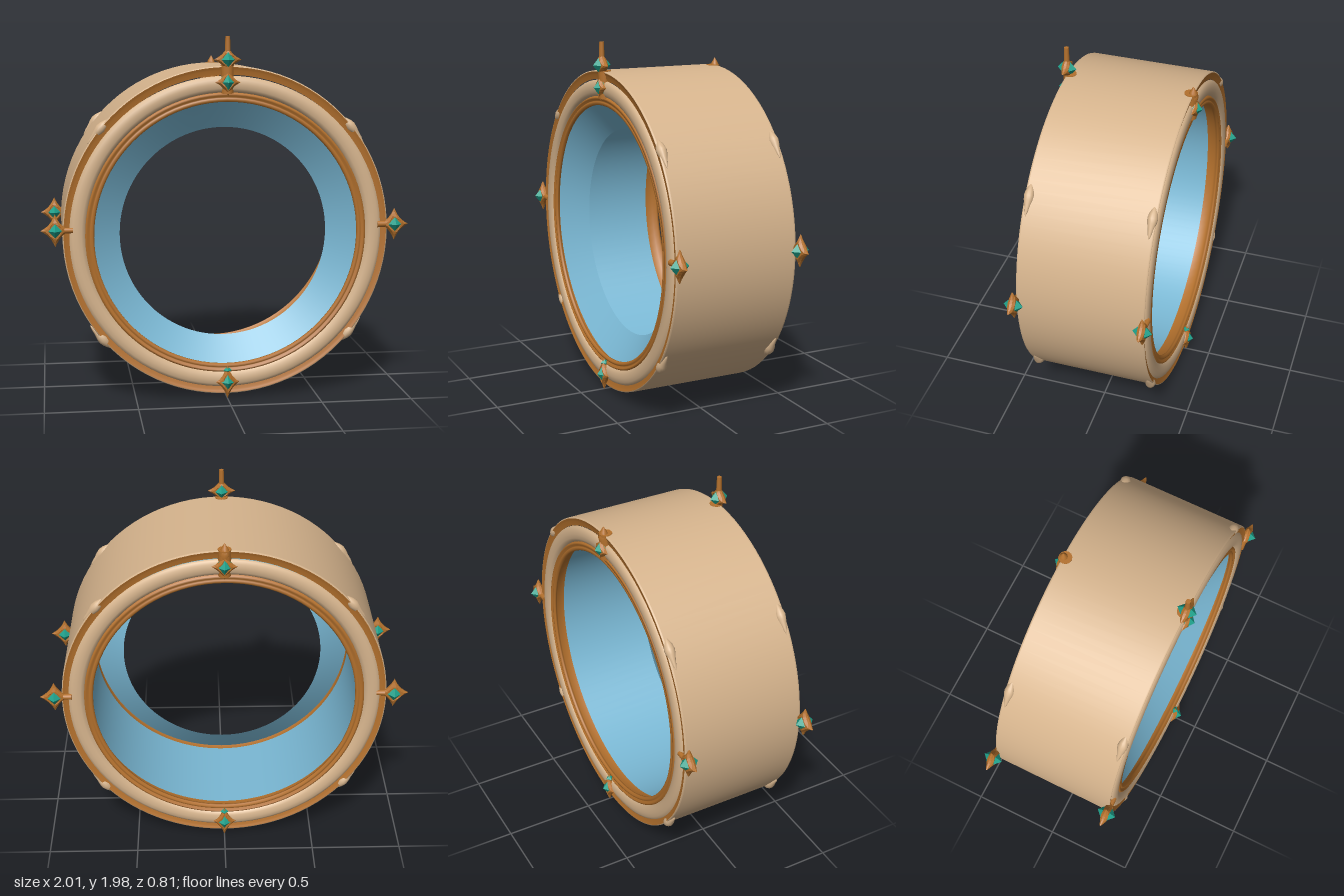
import * as THREE from 'three';

const mat = (name, color, side = THREE.FrontSide) => {
  const m = new THREE.MeshStandardMaterial({ color, side });
  m.name = name;
  return m;
};

export function createModel() {
  const model = new THREE.Group();
  model.name = 'ornateRing';
  const stone = mat('sandstone', 0xd6b48d);
  const gold = mat('bronze', 0xb4712d);
  const blue = mat('blueLining', 0x7ab8d4, THREE.DoubleSide);
  const teal = mat('tealGem', 0x1ea08a);

  const add = (parent, name, geometry, material, x = 0, y = 0, z = 0) => {
    const mesh = new THREE.Mesh(geometry, material);
    mesh.name = name;
    mesh.position.set(x, y, z);
    parent.add(mesh);
    return mesh;
  };

  // Revolve (radius, z) points around the z axis, with an optional slight oval
  const revolve = (points, oval = 1) =>
    new THREE.LatheGeometry(points.map(([r, z]) => new THREE.Vector2(r, z)), 96)
      .rotateX(Math.PI / 2).scale(1, oval, 1);

  // Drum wall, lining and the funnel inside the front
  const outerY = 0.93, innerY = 0.918;
  add(model, 'outerWall', revolve([[0.887, -0.34], [0.887, 0.34]], 1.012), stone, 0, outerY);
  add(model, 'innerLining', revolve([[0.745, 0.315], [0.745, -0.315]]), blue, 0, innerY);
  add(model, 'funnel', revolve([[0.745, 0.315], [0.66, 0.252], [0.574, 0.19]], 1.012), blue, 0, 0.91);

  // Moulded rims, the same on both ends
  for (const end of [1, -1]) {
    const rim = new THREE.Group();
    rim.name = end > 0 ? 'frontRim' : 'backRim';
    rim.rotation.y = end > 0 ? 0 : Math.PI;
    model.add(rim);
    add(rim, 'outerLip', revolve([[0.887, 0.338], [0.886, 0.347], [0.881, 0.349]], 1.012), stone, 0, outerY);
    add(rim, 'outerTrim', revolve([[0.881, 0.349], [0.874, 0.347], [0.864, 0.342], [0.84, 0.338]], 1.012),
      gold, 0, outerY);
    add(rim, 'roundMoulding', revolve([[0.853, 0.335], [0.847, 0.346], [0.833, 0.354], [0.81, 0.358],
      [0.786, 0.354], [0.77, 0.346], [0.762, 0.33]]), stone, 0, 0.922);
    add(rim, 'innerTrim', revolve([[0.77, 0.332], [0.762, 0.345], [0.752, 0.349], [0.744, 0.336],
      [0.738, 0.343], [0.727, 0.345], [0.718, 0.337], [0.718, 0.328], [0.743, 0.312], [0.743, 0.268]]),
      gold, 0, innerY);
  }

  // Four-pointed star with hollow sides, thinning to its tips, and a gem through it
  const star = (name, x, y, z, w, h, gemDepth = 0.053) => {
    const group = new THREE.Group();
    group.name = name;
    group.position.set(x, y, z);
    model.add(group);
    const tips = [[w, 0], [0, h], [-w, 0], [0, -h]];
    const shape = new THREE.Shape();
    shape.moveTo(w, 0);
    for (let i = 1; i <= 4; i++) {
      const [ax, ay] = tips[i - 1], [bx, by] = tips[i % 4];
      shape.quadraticCurveTo((ax + bx) * 0.28, (ay + by) * 0.28, bx, by);
    }
    const plate = new THREE.ExtrudeGeometry(shape, {
      depth: 0.016, bevelEnabled: true, bevelThickness: 0.012, bevelSize: 0.01,
      bevelOffset: -0.008, bevelSegments: 1, curveSegments: 6,
    }).translate(0, 0, -0.008);
    const p = plate.attributes.position;
    for (let i = 0; i < p.count; i++) {
      const reach = Math.hypot(p.getX(i) / w, p.getY(i) / h);
      p.setZ(i, p.getZ(i) * Math.max(0.25, 1.7 - 1.45 * reach));
    }
    plate.computeVertexNormals();
    add(group, 'starPlate', plate, gold);
    add(group, 'gem', new THREE.OctahedronGeometry(1).scale(0.056, 0.06, gemDepth), teal);
    return group;
  };

  // Teardrop stud profile, thick end up
  const drop = new THREE.LatheGeometry([[0, -0.1], [0.009, -0.075], [0.015, -0.045], [0.024, -0.015],
    [0.028, 0.01], [0.023, 0.035], [0.012, 0.06], [0, 0.08]].map(([r, y]) => new THREE.Vector2(r, y)), 16);

  for (const end of [1, -1]) {
    const z = 0.35 * end;
    const side = end > 0 ? 'front' : 'back';

    // Side stars on short stems
    for (const s of [1, -1]) {
      const g = star(`${side}SideStar`, 0.925 * s, 0.96, z, 0.075, 0.085);
      const stem = add(g, 'stem', new THREE.CylinderGeometry(0.018, 0.014, 0.09, 10), gold, -0.05 * s, 0, 0);
      stem.rotation.z = Math.PI / 2;

      // Teardrop studs lying along the rim on the diagonals
      for (const v of [1, -1]) {
        const stud = add(model, `${side}Stud`, drop, stone, 0.683 * s, 0.927 + 0.565 * v, 0.327 * end);
        stud.rotation.z = v > 0 ? s * 0.72 : Math.PI - s * 0.72;
      }
    }

    // Stars on the rim face
    star(`${side}TopStar`, 0, 1.74, 0.355 * end, 0.065, 0.07, 0.044);
    star(`${side}BottomStar`, 0, 0.1, 0.355 * end, 0.062, 0.09, 0.044);
    add(model, `${side}BottomBead`, new THREE.OctahedronGeometry(0.023), teal, 0, 0.165, 0.353 * end);
    add(model, `${side}TopStem`, new THREE.CylinderGeometry(0.036, 0.034, 0.15, 12), gold, 0, 1.755, 0.334 * end);
  }

  // Crowning star with a spike in front, plain finial behind
  star('crownStar', 0, 1.86, 0.35, 0.073, 0.07);
  add(model, 'crownSpike', new THREE.CylinderGeometry(0.013, 0.017, 0.13, 10), gold, 0, 1.92, 0.35);
  add(model, 'backFinial', new THREE.LatheGeometry([[0.022, -0.05], [0.03, -0.015], [0.018, 0.015], [0, 0.045]]
    .map(([r, y]) => new THREE.Vector2(r, y)), 12), gold, 0, 1.825, -0.345);

  return model;
}
